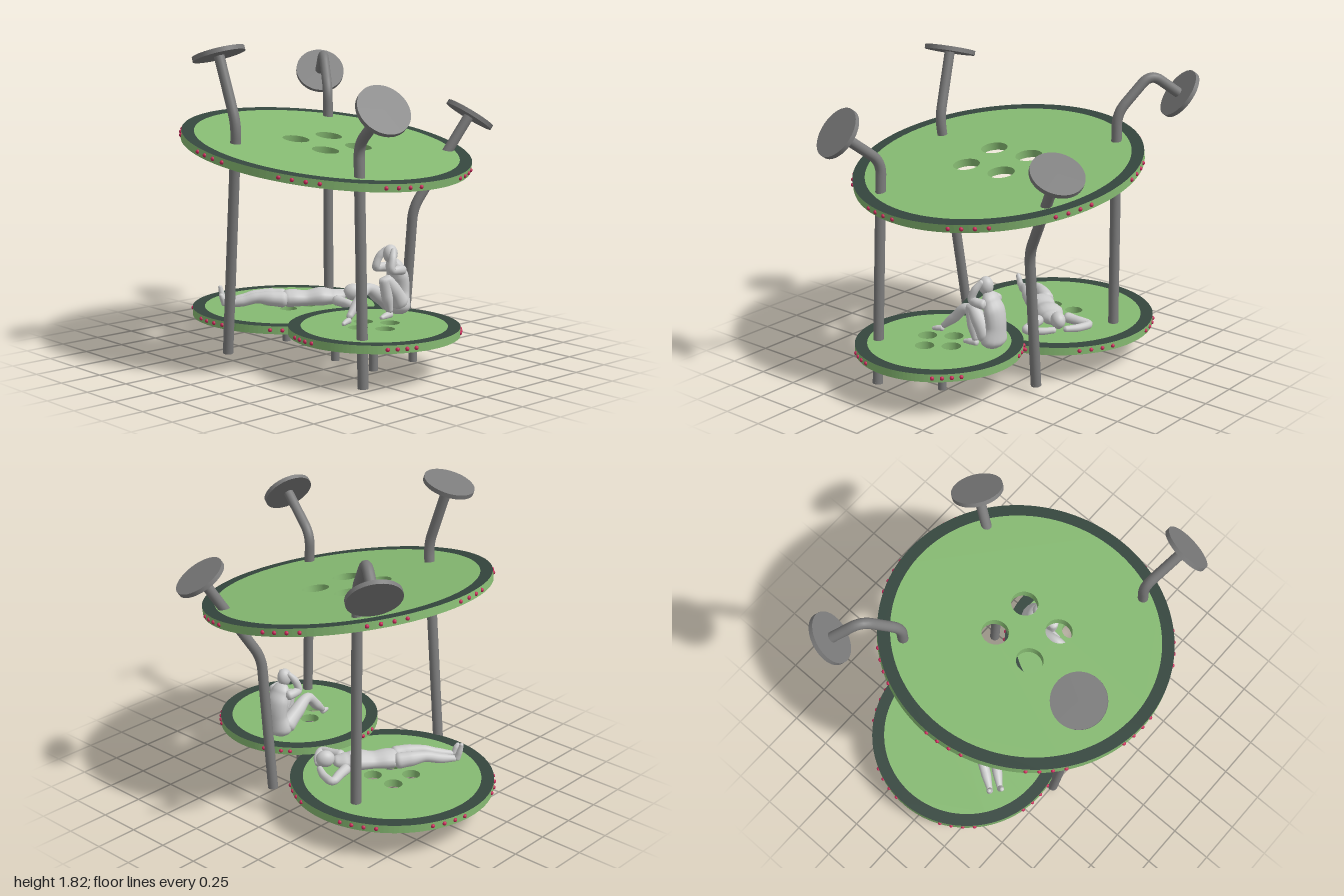
import * as THREE from 'three';
import { mergeVertices } from 'three/addons/utils/BufferGeometryUtils.js';

const V = (p) => new THREE.Vector3(p[0], p[1], p[2]);
const paint = (color) => new THREE.MeshStandardMaterial({ color });
const green = paint(0x86ba72), dark = paint(0x35463e), pink = paint(0xc8285a);
const steel = paint(0x7c7c7c), grey = paint(0xcccccc);

function add(parent, name, geometry, material) {
  const mesh = new THREE.Mesh(geometry, material);
  mesh.name = name;
  parent.add(mesh);
  return mesh;
}

// Solid cylinder from point a to point b
function rod(parent, name, a, b, radius, sides = 24) {
  const d = b.clone().sub(a);
  const mesh = add(parent, name, new THREE.CylinderGeometry(radius, radius, d.length(), sides), steel);
  mesh.position.copy(a).addScaledVector(d, 0.5);
  mesh.quaternion.setFromUnitVectors(new THREE.Vector3(0, 1, 0), d.normalize());
}

// Flat plate lying in xz, centred on y = 0
function plate(shape, thickness) {
  const g = new THREE.ExtrudeGeometry(shape, { depth: thickness, bevelEnabled: false, curveSegments: 64 });
  return g.translate(0, 0, -thickness / 2).rotateX(-Math.PI / 2);
}

const circle = (x, y, r, Type = THREE.Shape) => new Type().absarc(x, y, r, 0, Math.PI * 2);

// Button-like platform: green plate with four holes, dark rim, studs in groups of four
function deck(name, o) {
  const g = new THREE.Group();
  g.name = name;
  g.position.set(...o.at);
  g.rotation.x = o.tilt || 0;
  const thick = 0.046;

  const face = circle(0, 0, o.inner);
  for (let i = 0; i < 4; i++) {
    const a = o.turn + Math.PI / 4 + i * Math.PI / 2, d = o.holeOffset * Math.SQRT2;
    face.holes.push(circle(Math.cos(a) * d, Math.sin(a) * d, o.holeRadius, THREE.Path));
  }
  add(g, 'deckPlate', plate(face, thick), green);

  const ring = circle(0, 0, o.radius);
  ring.holes.push(circle(0, 0, o.inner, THREE.Path));
  add(g, 'deckRim', plate(ring, thick), [dark, green]);

  const stud = new THREE.SphereGeometry(0.012, 10, 8);
  for (let k = 0; k < o.groups; k++) {
    for (let j = 0; j < 4; j++) {
      const a = THREE.MathUtils.degToRad(o.start + k * 360 / o.groups + (j - 1.5) * o.step);
      add(g, 'rimStud', stud, pink).position.set(Math.sin(a) * o.radius, 0, Math.cos(a) * o.radius);
    }
  }

  // Short feet under the deck
  if (o.feet) {
    for (const sx of [-1, 1]) for (const sz of [-1, 1]) {
      const x = sx * o.feet, z = sz * o.feet;
      rod(g, 'deckFoot', V([x, 0.07 - o.at[1], z]), V([x, 0, z]), 0.024);
    }
  }
  return g;
}

// Pole with rounded bends and a round head set square to its last stretch
function pole(name, points) {
  const g = new THREE.Group();
  g.name = name;
  const pts = points.map(V), path = new THREE.CurvePath();
  const last = pts.length - 1;
  let from = pts[0];
  for (let i = 1; i < last; i++) {
    const p = pts[i];
    const into = p.clone().add(pts[i - 1].clone().sub(p).setLength(0.075));
    const out = p.clone().add(pts[i + 1].clone().sub(p).setLength(0.075));
    path.add(new THREE.LineCurve3(from, into));
    path.add(new THREE.QuadraticBezierCurve3(into, p, out));
    from = out;
  }
  path.add(new THREE.LineCurve3(from, pts[last]));
  add(g, 'poleShaft', new THREE.TubeGeometry(path, 96, 0.03, 20), steel);

  const up = pts[1].clone().sub(pts[0]).normalize();
  rod(g, 'poleEnd', pts[0], pts[0].clone().addScaledVector(up, 0.01), 0.03);
  const n = pts[last].clone().sub(pts[last - 1]).normalize();
  rod(g, 'poleHead', pts[last].clone().addScaledVector(n, -0.013),
    pts[last].clone().addScaledVector(n, 0.013), 0.15, 48);
  return g;
}

// Rounded limb through [x, y, z, radius] points, optionally widened along one axis
function limb(parent, name, points, axis, widen = 1) {
  const curve = new THREE.CatmullRomCurve3(points.map(V), false, 'centripetal');
  const rings = 40, sides = 14, length = curve.getLength();
  const g = new THREE.TubeGeometry(curve, rings, 1, sides);
  const pos = g.attributes.position, v = new THREE.Vector3();
  for (let i = 0; i <= rings; i++) {
    const u = i / rings, c = curve.getPointAt(u);
    const t = curve.getUtoTmapping(u) * (points.length - 1);
    const k = Math.min(Math.floor(t), points.length - 2);
    let r = THREE.MathUtils.lerp(points[k][3], points[k + 1][3], THREE.MathUtils.smoothstep(t - k, 0, 1));
    const end = Math.min(1, Math.min(u, 1 - u) * length / (r * 0.8));
    r *= Math.sqrt(1 - (1 - end) ** 2);
    for (let j = 0; j <= sides; j++) {
      const n = i * (sides + 1) + j;
      v.fromBufferAttribute(pos, n).sub(c).multiplyScalar(Math.max(r, 0.0005));
      if (axis) v.addScaledVector(axis, v.dot(axis) * (widen - 1));
      v.add(c);
      pos.setXYZ(n, v.x, v.y, v.z);
    }
  }
  g.deleteAttribute('uv');
  g.deleteAttribute('normal');
  const smooth = mergeVertices(g, 1e-5);
  smooth.computeVertexNormals();
  add(parent, name, smooth, grey);
}

function head(parent, at, sx, sy, sz) {
  const m = add(parent, 'head', new THREE.SphereGeometry(1, 20, 14), grey);
  m.position.set(...at);
  m.scale.set(sx, sy, sz);
}

// Figure sitting with hands to its head, facing -x
function sittingFigure() {
  const g = new THREE.Group();
  g.name = 'sittingFigure';
  limb(g, 'torso', [[0.215, 0.27, 0.36, 0.06], [0.22, 0.33, 0.36, 0.066], [0.235, 0.41, 0.36, 0.052],
    [0.225, 0.49, 0.36, 0.054], [0.2, 0.55, 0.36, 0.045], [0.175, 0.6, 0.36, 0.028]], new THREE.Vector3(0, 0, 1), 1.35);
  head(g, [0.165, 0.63, 0.36], 0.045, 0.053, 0.04);
  limb(g, 'leftLeg', [[0.22, 0.32, 0.4, 0.055], [0.155, 0.42, 0.4, 0.046], [0.09, 0.495, 0.395, 0.033],
    [0.1, 0.4, 0.4, 0.033], [0.125, 0.295, 0.4, 0.02]]);
  limb(g, 'leftFoot', [[0.14, 0.29, 0.4, 0.02], [0.09, 0.287, 0.405, 0.019], [0.04, 0.28, 0.41, 0.012]]);
  limb(g, 'rightLeg', [[0.22, 0.32, 0.32, 0.055], [0.11, 0.39, 0.325, 0.045], [0.0, 0.445, 0.335, 0.031],
    [-0.08, 0.375, 0.345, 0.03], [-0.165, 0.3, 0.36, 0.018]]);
  limb(g, 'rightFoot', [[-0.15, 0.292, 0.36, 0.018], [-0.19, 0.288, 0.37, 0.016], [-0.225, 0.28, 0.38, 0.01]]);
  for (const s of [-1, 1]) {
    limb(g, 'arm', [[0.215, 0.54, 0.36 + s * 0.06, 0.03], [0.16, 0.545, 0.36 + s * 0.07, 0.027],
      [0.115, 0.55, 0.36 + s * 0.065, 0.023], [0.13, 0.61, 0.36 + s * 0.055, 0.022], [0.165, 0.665, 0.36 + s * 0.025, 0.015]]);
  }
  return g;
}

// Figure on its back, arms folded behind the head; modelled along +x then turned
function lyingFigure() {
  const g = new THREE.Group();
  g.name = 'lyingFigure';
  g.position.set(0.03, 0.225, -0.33);
  g.rotation.y = -Math.atan2(0.48, 0.63);
  limb(g, 'torso', [[-0.07, 0.055, 0, 0.05], [0, 0.058, 0, 0.052], [0.08, 0.056, 0, 0.046],
    [0.17, 0.065, 0, 0.055], [0.24, 0.062, 0, 0.045], [0.32, 0.07, 0, 0.026]], new THREE.Vector3(0, 0, 1), 1.5);
  head(g, [0.36, 0.088, 0], 0.055, 0.05, 0.043);
  for (const s of [-1, 1]) {
    limb(g, 'arm', [[0.24, 0.06, s * 0.07, 0.032], [0.3, 0.05, s * 0.135, 0.028],
      [0.35, 0.042, s * 0.19, 0.024], [0.385, 0.04, s * 0.12, 0.023], [0.4, 0.045, s * 0.02, 0.018]]);
    limb(g, 'leg', [[-0.03, 0.055, s * 0.04, 0.05], [-0.12, 0.065, s * 0.045, 0.044], [-0.22, 0.07, s * 0.04, 0.032],
      [-0.3, 0.05, s * 0.035, 0.03], [-0.41, 0.035, s * 0.03, 0.018]]);
    limb(g, 'foot', [[-0.405, 0.025, s * 0.03, 0.02], [-0.42, 0.07, s * 0.035, 0.018], [-0.435, s > 0 ? 0.1 : 0.135, s * 0.04, 0.012]]);
  }
  return g;
}

export function createModel() {
  const model = new THREE.Group();
  model.name = 'shelter';
  model.add(
    deck('roofDeck', { at: [-0.02, 1.23, 0.025], tilt: 0.17, radius: 0.833, inner: 0.762, turn: 0,
      holeOffset: 0.127, holeRadius: 0.077, groups: 9, start: -12.2, step: 5.1 }),
    deck('frontDeck', { at: [-0.08, 0.25, 0.482], radius: 0.48, inner: 0.41, turn: 0.61,
      holeOffset: 0.076, holeRadius: 0.055, groups: 5, start: 46, step: 6.4, feet: 0.153 }),
    deck('backDeck', { at: [0.075, 0.2, -0.41], radius: 0.585, inner: 0.512, turn: 0,
      holeOffset: 0.078, holeRadius: 0.052, groups: 7, start: 61, step: 6.9, feet: 0.203 }),
    pole('leftBackPole', [[-0.507, 0.045, -0.285], [-0.575, 1.38, -0.11], [-0.597, 1.77, -0.232]]),
    pole('leftFrontPole', [[-0.368, 0.005, 0.695], [-0.352, 1.32, 0.64], [-0.425, 1.52, 0.895]]),
    pole('rightBackPole', [[0.455, 0.075, -0.475], [0.447, 1.5, -0.475], [0.56, 1.72, -0.64], [0.665, 1.59, -0.787]]),
    pole('rightFrontPole', [[0.415, 0.045, 0.22], [0.418, 0.86, 0.29], [0.72, 1.395, 0.448]]),
    sittingFigure(),
    lyingFigure(),
  );
  return model;
}
